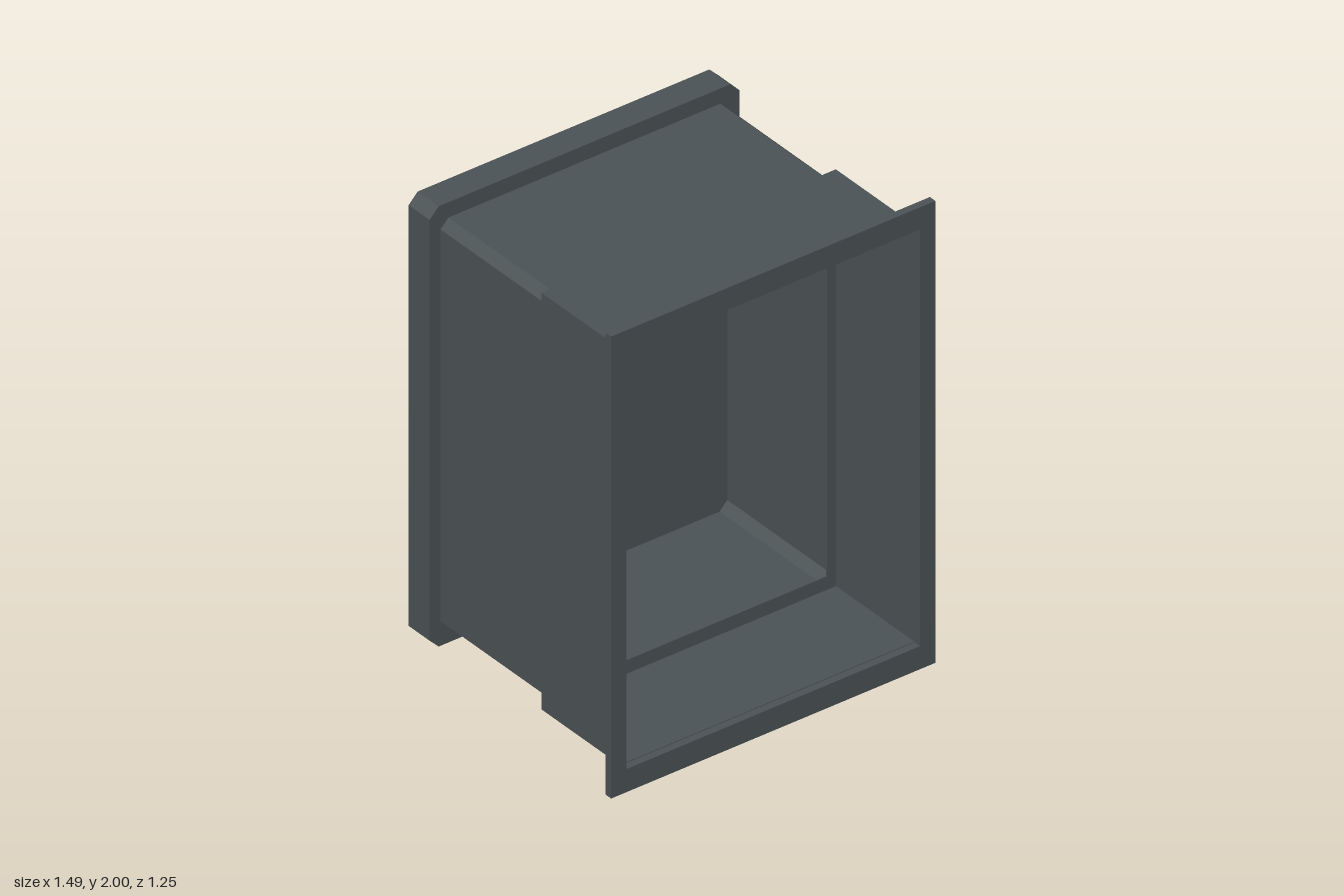
import * as THREE from 'three';

// Rectangle with optional corner chamfers, centred at height cy
function outline(PathType, halfW, halfH, c, cy) {
  const pts = [];
  const add = (x, y) => pts.push(new THREE.Vector2(x, y + cy));
  if (c > 0) {
    add(-halfW + c, -halfH); add(halfW - c, -halfH);
    add(halfW, -halfH + c); add(halfW, halfH - c);
    add(halfW - c, halfH); add(-halfW + c, halfH);
    add(-halfW, halfH - c); add(-halfW, -halfH + c);
  } else {
    add(-halfW, -halfH); add(halfW, -halfH);
    add(halfW, halfH); add(-halfW, halfH);
  }
  return new PathType(pts);
}

export function createModel() {
  const group = new THREE.Group();
  const greyMetal = new THREE.MeshStandardMaterial({ color: 0x4b5356 });
  greyMetal.name = 'dark grey metal';

  // Slab between z0 and z1; outer and inner are [halfW, halfH, chamfer, centreY]
  function slab(name, z0, z1, outer, inner) {
    const shape = outline(THREE.Shape, ...outer);
    if (inner) shape.holes.push(outline(THREE.Path, ...inner));
    const geo = new THREE.ExtrudeGeometry(shape, { depth: z1 - z0, bevelEnabled: false });
    const mesh = new THREE.Mesh(geo, greyMetal);
    mesh.name = name;
    mesh.position.z = z0;
    group.add(mesh);
  }

  // Thin flange around the open front
  slab('frontFlange', 0.592, 0.625, [0.743, 1, 0, 1], [0.672, 0.902, 0, 1.002]);
  // Wide front sleeve
  slab('frontSleeve', 0.12, 0.592, [0.675, 0.902, 0, 1.002], [0.672, 0.899, 0, 1.002]);
  // Step between the two sleeves
  slab('innerLedge', 0.12, 0.125, [0.673, 0.9, 0, 1.002], [0.63, 0.84, 0, 1.002]);
  // Narrower rear sleeve with chamfered corners
  slab('rearSleeve', -0.5, 0.12, [0.66, 0.885, 0.037, 1.005], [0.655, 0.88, 0.036, 1.005]);
  // Solid rear cap closing the box
  slab('rearCap', -0.625, -0.5, [0.71, 0.953, 0.042, 1.003]);

  return group;
}
